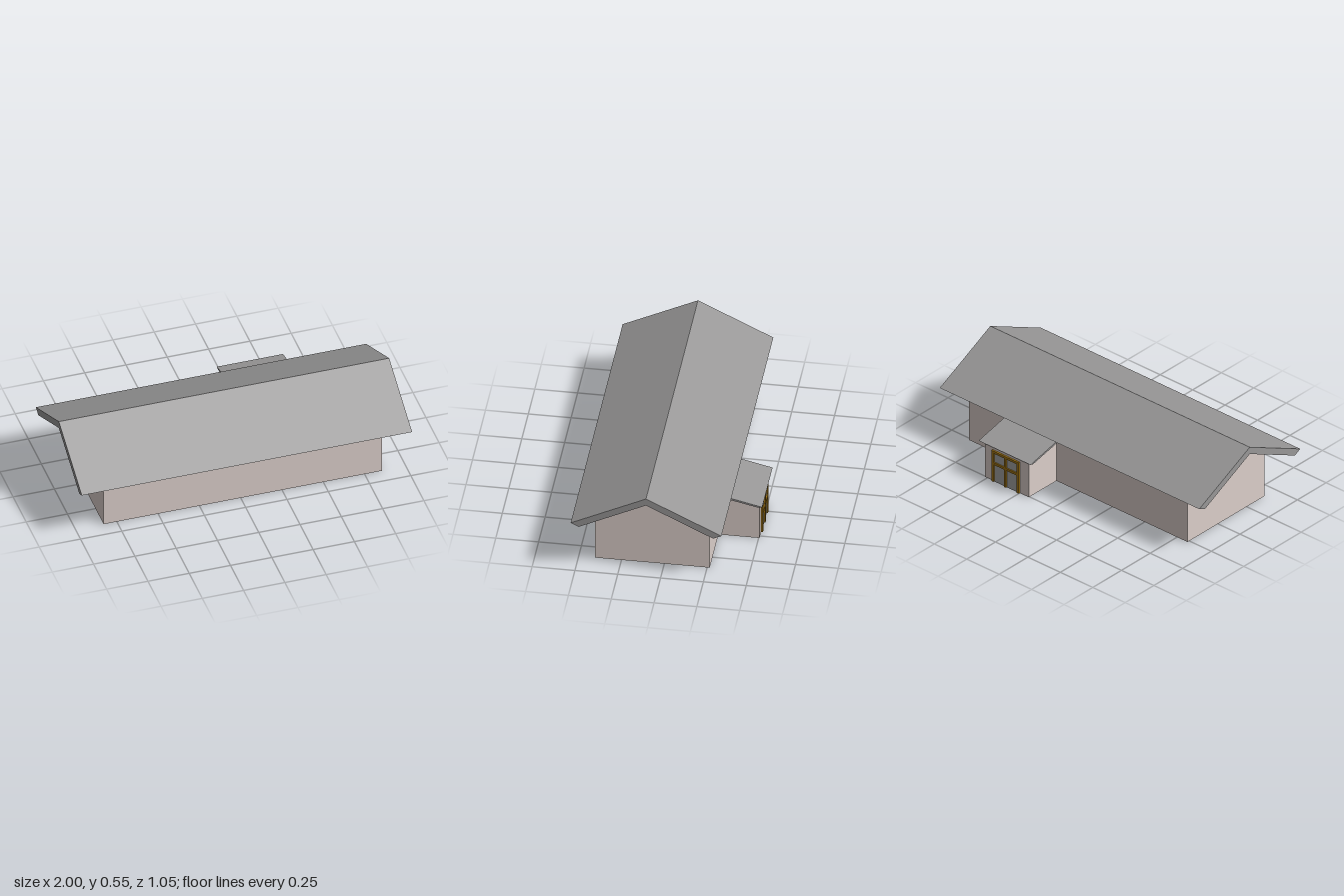
import * as THREE from 'three';

const material = (color, extra = {}) =>
  new THREE.MeshStandardMaterial({ color, flatShading: true, ...extra });

export function createModel() {
  const house = new THREE.Group();
  house.name = 'house';
  const wall = material(0xdccfca);
  const roof = material(0x999898);
  const wood = material(0xa07414);
  const glass = material(0xa6a6a6);

  // Extrudes a [z, y] profile along x from x0 to x1
  function prism(name, profile, x0, x1, mat) {
    const shape = new THREE.Shape(profile.map(([z, y]) => new THREE.Vector2(-z, y)));
    const geometry = new THREE.ExtrudeGeometry(shape, { depth: x1 - x0, bevelEnabled: false });
    geometry.rotateY(Math.PI / 2).translate(x0, 0, 0);
    const mesh = new THREE.Mesh(geometry, mat);
    mesh.name = name;
    house.add(mesh);
  }

  // Main walls with gable ends
  prism('mainWalls', [
    [0.405, 0], [0.405, 0.345], [0.085, 0.503], [-0.265, 0.331], [-0.265, 0],
  ], -0.83, 0.855, wall);

  // Main roof: one chevron with square-cut eaves
  prism('mainRoof', [
    [0.525, 0.335], [0.085, 0.551], [-0.355, 0.335],
    [-0.307, 0.312], [0.085, 0.505], [0.478, 0.312],
  ], -1, 1, roof);

  // Rear porch and its lean-to roof
  prism('porchWalls', [
    [-0.265, 0], [-0.265, 0.29], [-0.505, 0.236], [-0.505, 0],
  ], 0.18, 0.52, wall);
  prism('porchRoof', [
    [-0.265, 0.302], [-0.525, 0.241], [-0.503, 0.235], [-0.265, 0.289],
  ], 0.15, 0.55, roof);

  // Double door on the back of the porch
  const door = new THREE.Group();
  door.name = 'door';
  house.add(door);
  const left = 0.25, right = 0.46, height = 0.21, bar = 0.016;
  const middle = (left + right) / 2;

  function doorPart(name, w, h, d, x, y, z, mat) {
    const mesh = new THREE.Mesh(new THREE.BoxGeometry(w, h, d), mat);
    mesh.name = name;
    mesh.position.set(x, y, z);
    door.add(mesh);
  }
  doorPart('doorGlass', right - left - bar, height - bar, 0.004, middle, (height - bar) / 2, -0.506, glass);
  for (const x of [left + bar / 2, middle, right - bar / 2]) {
    doorPart('doorPost', bar, height, 0.012, x, height / 2, -0.51, wood);
  }
  for (const y of [0.125, height - bar / 2]) {
    for (const side of [-1, 1]) {
      const span = (right - left - 3 * bar) / 2;
      doorPart('doorRail', span, bar, 0.012, middle + side * (span + bar) / 2, y, -0.51, wood);
    }
  }
  return house;
}
